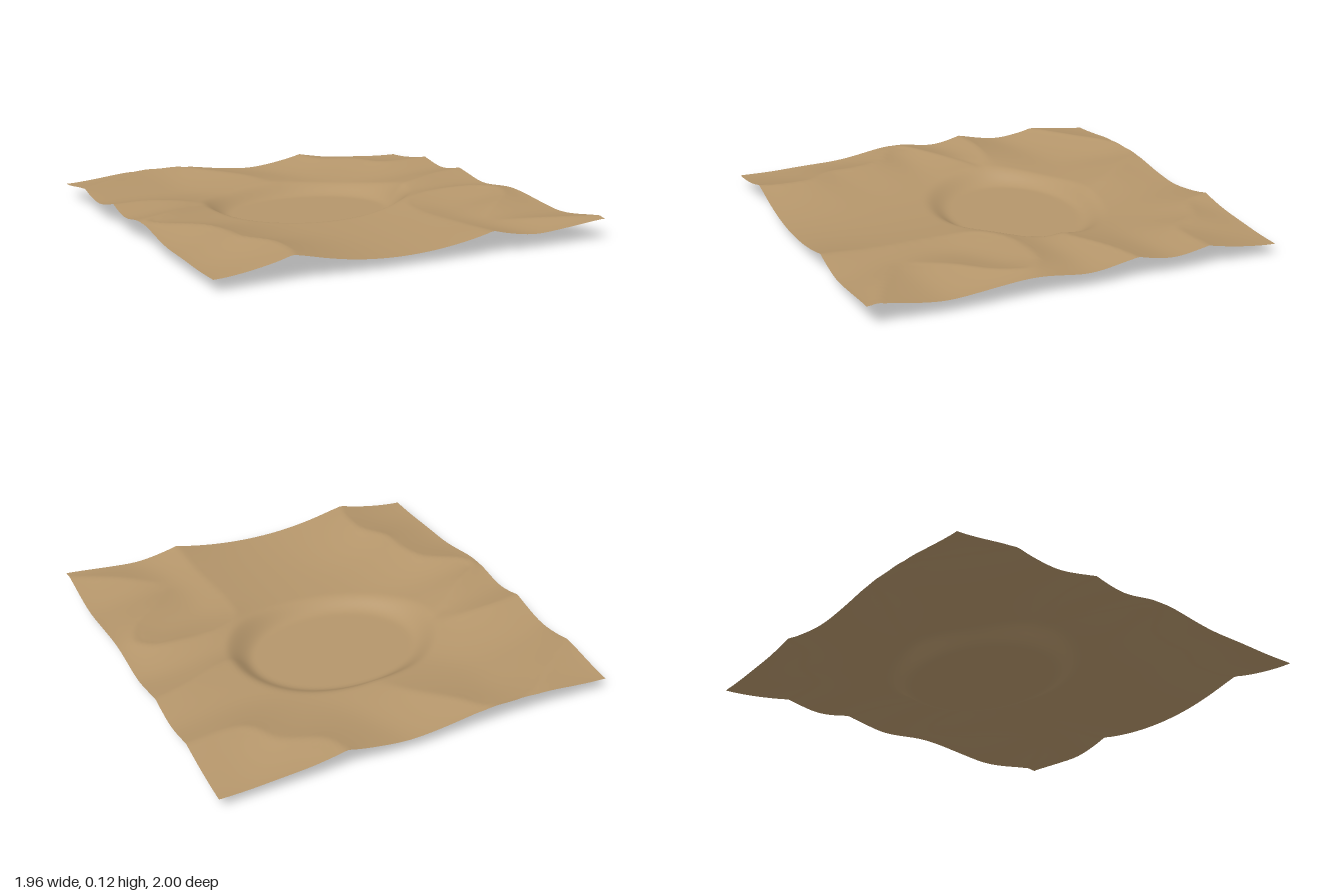
import * as THREE from 'three';

const WIDTH = 1.96, DEPTH = 2, N = 100;
const VALLEY = 0.045, REACH = 0.48;

// Dune crests as [x, z, height] points
const crests = [
  [[-1.02, -0.66, 0.1], [-0.8, -0.82, 0.1], [-0.6, -0.97, 0.1], [-0.47, -1.01, 0.1], [-0.34, -0.98, 0.1],
    [-0.25, -0.87, 0.098], [-0.1, -0.7, 0.087], [0, -0.53, 0.066]],
  [[0.37, -1.02, 0.105], [0.42, -0.88, 0.1], [0.6, -0.78, 0.1], [0.7, -0.64, 0.1], [1, -0.64, 0.1]],
  [[-1, -0.24, 0.112], [-0.8, -0.26, 0.108], [-0.65, -0.25, 0.095], [-0.57, -0.23, 0.08]],
  [[-0.55, -0.16, 0.075], [-0.65, -0.09, 0.09], [-0.8, 0.02, 0.108], [-0.95, 0.13, 0.112], [-0.92, 0.2, 0.112],
    [-0.75, 0.32, 0.112], [-0.7, 0.45, 0.112], [-0.68, 0.6, 0.114], [-0.6, 0.73, 0.115], [-0.59, 0.9, 0.115],
    [-0.62, 1.02, 0.115]],
  [[1, -0.28, 0.105], [0.8, -0.22, 0.105], [0.6, -0.13, 0.098], [0.48, -0.1, 0.085]],
  [[0.37, 1.02, 0.108], [0.36, 0.75, 0.09], [0.33, 0.4, 0.082], [0.36, 0.24, 0.09], [0.5, 0.15, 0.1],
    [0.7, 0.13, 0.108], [0.82, 0.15, 0.108], [0.89, 0.22, 0.108], [0.84, 0.36, 0.105], [0.7, 0.5, 0.098],
    [0.58, 0.62, 0.08]],
  [[0.6, 0.74, 0.08], [0.75, 0.84, 0.095], [1, 0.96, 0.105]],
].map(points => new THREE.CatmullRomCurve3(points.map(([x, z, h]) => new THREE.Vector3(x, h, z))).getPoints(120)).flat();

// Cusped dune height and distance to the nearest crest
function dune(x, z) {
  let height = VALLEY, nearest = Infinity;
  for (const c of crests) {
    const d = Math.hypot(x - c.x, z - c.z);
    nearest = Math.min(nearest, d);
    if (d < REACH) height = Math.max(height, VALLEY + (c.y - VALLEY) * (1 - d / REACH) ** 2);
  }
  return { height, nearest };
}

// Flat oval basin: 0 on the floor, 1 outside the wall
function basin(x, z) {
  return THREE.MathUtils.smoothstep(Math.hypot(x / 0.4, (z + 0.125) / 0.31), 1, 1.37);
}

export function createModel() {
  const geometry = new THREE.PlaneGeometry(WIDTH, DEPTH, N, N).rotateX(-Math.PI / 2);
  const pos = geometry.attributes.position;
  const row = N + 1;
  const samples = Array.from({ length: pos.count }, (_, i) => dune(pos.getX(i), pos.getZ(i)));
  let heights = samples.map(s => s.height);

  // Round the valleys while keeping the crests sharp
  for (let pass = 0; pass < 14; pass++) {
    heights = heights.map((h, i) => {
      if (samples[i].nearest < 0.035) return h;
      const c = i % row, r = Math.floor(i / row);
      const left = heights[c > 0 ? i - 1 : i], right = heights[c < N ? i + 1 : i];
      const back = heights[r > 0 ? i - row : i], front = heights[r < N ? i + row : i];
      return (left + right + back + front) / 4;
    });
  }

  heights.forEach((h, i) => pos.setY(i, h * basin(pos.getX(i), pos.getZ(i))));
  geometry.computeVertexNormals();

  const sand = new THREE.MeshStandardMaterial({ color: 0xb5966b, side: THREE.DoubleSide });
  const terrain = new THREE.Mesh(geometry, sand);
  terrain.name = 'duneTerrain';
  const group = new THREE.Group();
  group.name = 'sandDunesWithBasin';
  group.add(terrain);
  return group;
}
